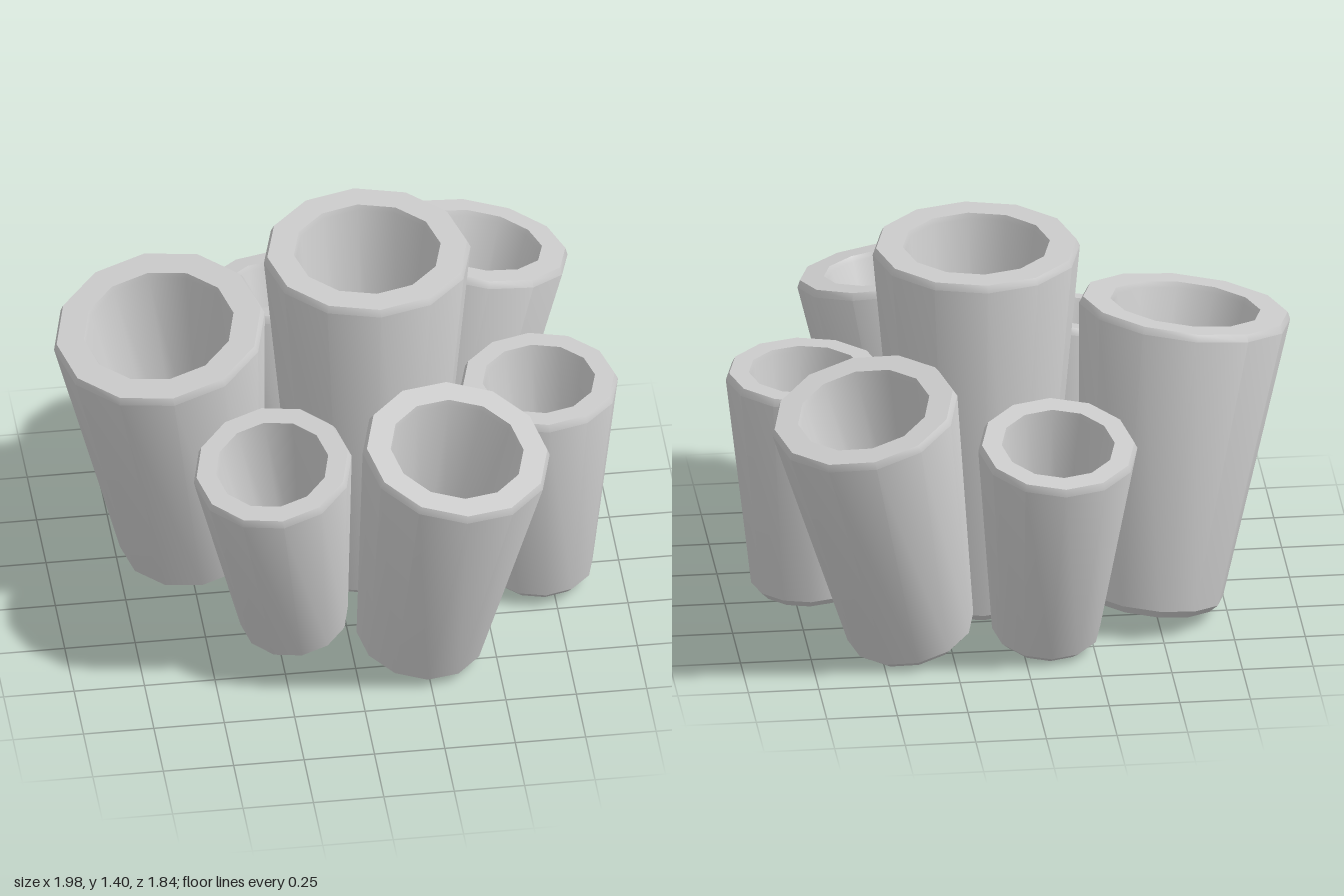
import * as THREE from 'three';
import { toCreasedNormals } from 'three/addons/utils/BufferGeometryUtils.js';

const SIDES = 12;

// Tapered hollow tube standing on its origin: closed base, bevelled rim, conical bore
function tubeGeometry(radius, length) {
  const base = radius * 0.68;
  const profile = [
    [0, 0],
    [base - 0.03, 0],
    [base, 0.03],
    [radius, length - 0.025],
    [radius - 0.012, length],
    [radius * 0.71, length],
    [radius * 0.69, length - 0.02],
    [radius * 0.37, length * 0.24],
    [0, length * 0.24],
  ].map(([x, y]) => new THREE.Vector2(x, y));
  return toCreasedNormals(new THREE.LatheGeometry(profile, SIDES), 0.65);
}

// Each tube: name, centre of the base, centre of the rim, rim radius
const TUBES = [
  ['centreTube', [0.12, 0.04, -0.095], [0.12, 1.4, -0.095], 0.367],
  ['largeRightTube', [-0.48, 0.06, -0.24], [-0.62, 1.13, -0.1], 0.377],
  ['smallFrontTube', [-0.185, 0.06, 0.27], [-0.287, 0.88, 0.425], 0.282],
  ['mediumFrontTube', [0.235, 0.055, 0.42], [0.348, 1.01, 0.59], 0.335],
  ['smallLeftTube', [0.71, 0.03, 0.05], [0.71, 0.875, 0.05], 0.281],
  ['smallBackTube', [-0.085, 0.045, -0.46], [-0.11, 0.86, -0.635], 0.282],
  ['mediumBackTube', [0.385, 0.055, -0.425], [0.575, 1.01, -0.6], 0.333],
];

export function createModel() {
  const model = new THREE.Group();
  model.name = 'tubeCluster';
  const material = new THREE.MeshStandardMaterial({ color: 0xcccccc });
  const up = new THREE.Vector3(0, 1, 0);

  // Lean every tube along the line from its base to its rim
  for (const [name, from, to, radius] of TUBES) {
    const start = new THREE.Vector3(...from);
    const axis = new THREE.Vector3(...to).sub(start);
    const tube = new THREE.Mesh(tubeGeometry(radius, axis.length()), material);
    tube.name = name;
    tube.position.copy(start);
    tube.quaternion.setFromUnitVectors(up, axis.normalize());
    model.add(tube);
  }
  return model;
}
